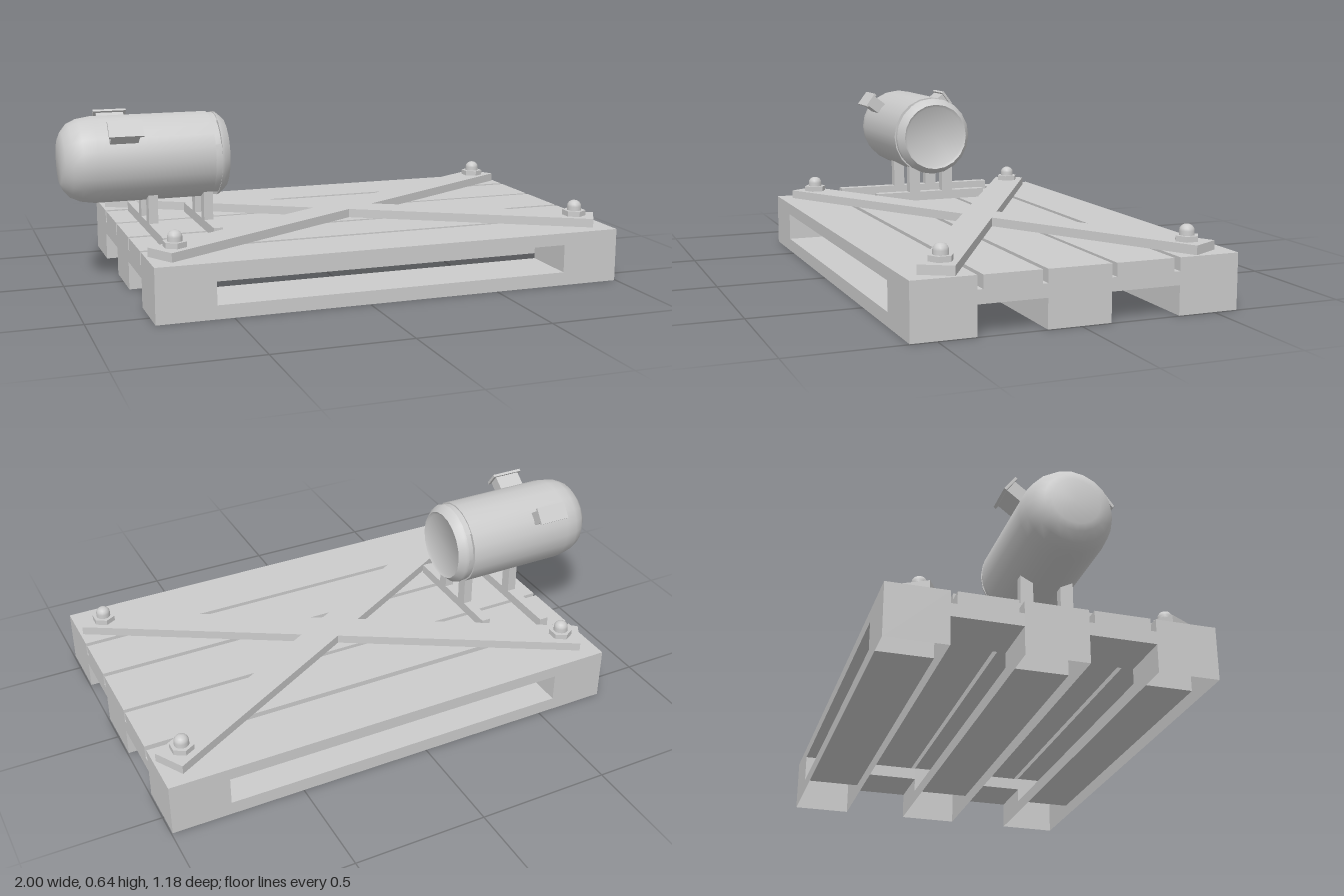
import * as THREE from 'three';
import { toCreasedNormals } from 'three/addons/utils/BufferGeometryUtils.js';

const grey = new THREE.MeshStandardMaterial({ color: 0xcccccc });
const greyOpen = new THREE.MeshStandardMaterial({ color: 0xcccccc, side: THREE.DoubleSide });
const X0 = -0.775, X1 = 0.995, TOP = 0.2;    // pallet length and deck height
const HX0 = -0.56, HX1 = 0.775;              // fork opening
const CX = 0.11;                             // pallet centre along x

function add(parent, name, geometry, material = grey) {
  const mesh = new THREE.Mesh(geometry, material);
  mesh.name = name;
  parent.add(mesh);
  return mesh;
}

// Box given by its limits on each axis
function block(parent, name, x0, x1, y0, y1, z0, z1) {
  const mesh = add(parent, name, new THREE.BoxGeometry(x1 - x0, y1 - y0, z1 - z0));
  mesh.position.set((x0 + x1) / 2, (y0 + y1) / 2, (z0 + z1) / 2);
  return mesh;
}

function rectPoints(x0, y0, x1, y1) {
  return [[x0, y0], [x1, y0], [x1, y1], [x0, y1]].map(p => new THREE.Vector2(...p));
}

// Hollow runner: side walls with a fork opening, open underneath
function runnerGeometry(z0, z1) {
  const shape = new THREE.Shape(rectPoints(X0, 0, X1, TOP));
  shape.holes.push(new THREE.Path(rectPoints(HX0, 0.05, HX1, 0.155).reverse()));
  const full = new THREE.ExtrudeGeometry(shape, { depth: z1 - z0, bevelEnabled: false });
  const src = full.attributes.position.array;
  const kept = [];
  for (let i = 0; i < src.length; i += 9) {
    const onGround = [1, 4, 7].every(k => Math.abs(src[i + k]) < 1e-5);
    if (!onGround) kept.push(...src.slice(i, i + 9));
  }
  const g = new THREE.BufferGeometry();
  g.setAttribute('position', new THREE.Float32BufferAttribute(kept, 3));
  g.translate(0, 0, z0);
  g.computeVertexNormals();
  return g;
}

function createPallet() {
  const pallet = new THREE.Group();
  pallet.name = 'pallet';
  for (const [z0, z1] of [[-0.59, -0.365], [-0.11, 0.12], [0.365, 0.59]])
    add(pallet, 'runner', runnerGeometry(z0, z1), greyOpen);
  // Deck boards between the runners, carried by end blocks
  for (const [z0, z1, b0, b1] of [[-0.365, -0.11, -0.342, -0.128], [0.12, 0.365, 0.14, 0.345]]) {
    block(pallet, 'deckBoard', X0, X1, 0.153, TOP, b0, b1);
    block(pallet, 'endBlock', X0, HX0, 0.105, 0.153, z0, z1);
    block(pallet, 'endBlock', HX1, X1, 0.105, 0.153, z0, z1);
  }
  return pallet;
}

// Two crossed planks as one outline
function createCross() {
  const L = 0.975, w = 0.0615, a = Math.PI / 6;
  const c = Math.cos(a), s = Math.sin(a);
  const inner = [L * c + w * s, L * s - w * c];
  const outer = [L * c - w * s, L * s + w * c];
  const pts = [
    [w / s, 0], inner, outer, [0, w / c],
    [-outer[0], outer[1]], [-inner[0], inner[1]], [-w / s, 0],
    [-inner[0], -inner[1]], [-outer[0], -outer[1]], [0, -w / c],
    [outer[0], -outer[1]], [inner[0], -inner[1]],
  ].map(p => new THREE.Vector2(...p));
  const g = new THREE.ExtrudeGeometry(new THREE.Shape(pts), { depth: 0.033, bevelEnabled: false });
  g.rotateX(-Math.PI / 2);
  g.translate(CX, TOP, 0);
  return g;
}

// Hex nut with a domed cap
function createBolt() {
  const bolt = new THREE.Group();
  bolt.name = 'bolt';
  const nut = add(bolt, 'nut', toCreasedNormals(new THREE.CylinderGeometry(0.044, 0.044, 0.022, 6), 0.5));
  nut.position.y = 0.011;
  const dome = [[0.027, 0], [0.027, 0.037], [0.025, 0.046], [0.019, 0.054], [0.01, 0.059], [0, 0.06]];
  add(bolt, 'cap', new THREE.LatheGeometry(dome.map(p => new THREE.Vector2(...p)), 16));
  return bolt;
}

// Turned part lying along x, from [x, radius] pairs
function turned(profile, segments = 20, start = 0, length = Math.PI * 2) {
  const pts = profile.map(([x, r]) => new THREE.Vector2(r, x));
  const g = new THREE.LatheGeometry(pts, segments, start, length);
  g.rotateZ(-Math.PI / 2);
  return toCreasedNormals(g, 0.6);
}

function createMotor() {
  const motor = new THREE.Group();
  motor.name = 'motor';
  motor.position.y = 0.475;
  add(motor, 'housing', turned([
    [-1, 0], [-1, 0.085], [-0.99, 0.108], [-0.965, 0.138], [-0.93, 0.154], [-0.88, 0.162],
    [-0.445, 0.162], [-0.445, 0.148], [-0.42, 0.148],
  ]));
  add(motor, 'endCap', turned([
    [-0.42, 0.148], [-0.42, 0.16], [-0.41, 0.157], [-0.385, 0.136],
    [-0.385, 0.136], [-0.392, 0.125], [-0.392, 0],
  ]));
  // Three collar segments around the neck
  for (let i = 0; i < 3; i++) {
    const start = THREE.MathUtils.degToRad(-21 + i * 120);
    add(motor, 'collarSegment', turned([[-0.445, 0.145], [-0.445, 0.156], [-0.42, 0.156], [-0.42, 0.145]],
      6, start, THREE.MathUtils.degToRad(81)), greyOpen);
  }
  // Terminal boxes with lids, angled out on both sides
  for (const side of [1, -1]) {
    const box = new THREE.Group();
    box.name = 'terminalBox';
    box.position.x = -0.782;
    box.rotation.x = side * THREE.MathUtils.degToRad(53);
    block(box, 'terminalHousing', -0.052, 0.052, 0.13, 0.217, -0.025, 0.025);
    block(box, 'terminalLid', -0.063, 0.063, 0.217, 0.227, -0.033, 0.033);
    motor.add(box);
  }
  return motor;
}

// Cross bars and uprights that carry the motor
function createStand() {
  const stand = new THREE.Group();
  stand.name = 'motorStand';
  for (const [x, half] of [[-0.69, 0.335], [-0.48, 0.24]]) {
    block(stand, 'crossBar', x, x + 0.035, TOP, 0.237, -half, half);
    for (const z of [-0.073, 0.073])
      block(stand, 'upright', x, x + 0.035, 0.237, 0.36, z - 0.023, z + 0.023);
  }
  return stand;
}

export function createModel() {
  const model = new THREE.Group();
  model.name = 'palletWithMotor';
  model.add(createPallet());
  add(model, 'crossPlanks', createCross());
  for (const sx of [-1, 1])
    for (const sz of [-1, 1]) {
      const bolt = createBolt();
      bolt.position.set(CX + sx * 0.782, 0.231, sz * 0.449);
      model.add(bolt);
    }
  model.add(createStand(), createMotor());
  return model;
}
